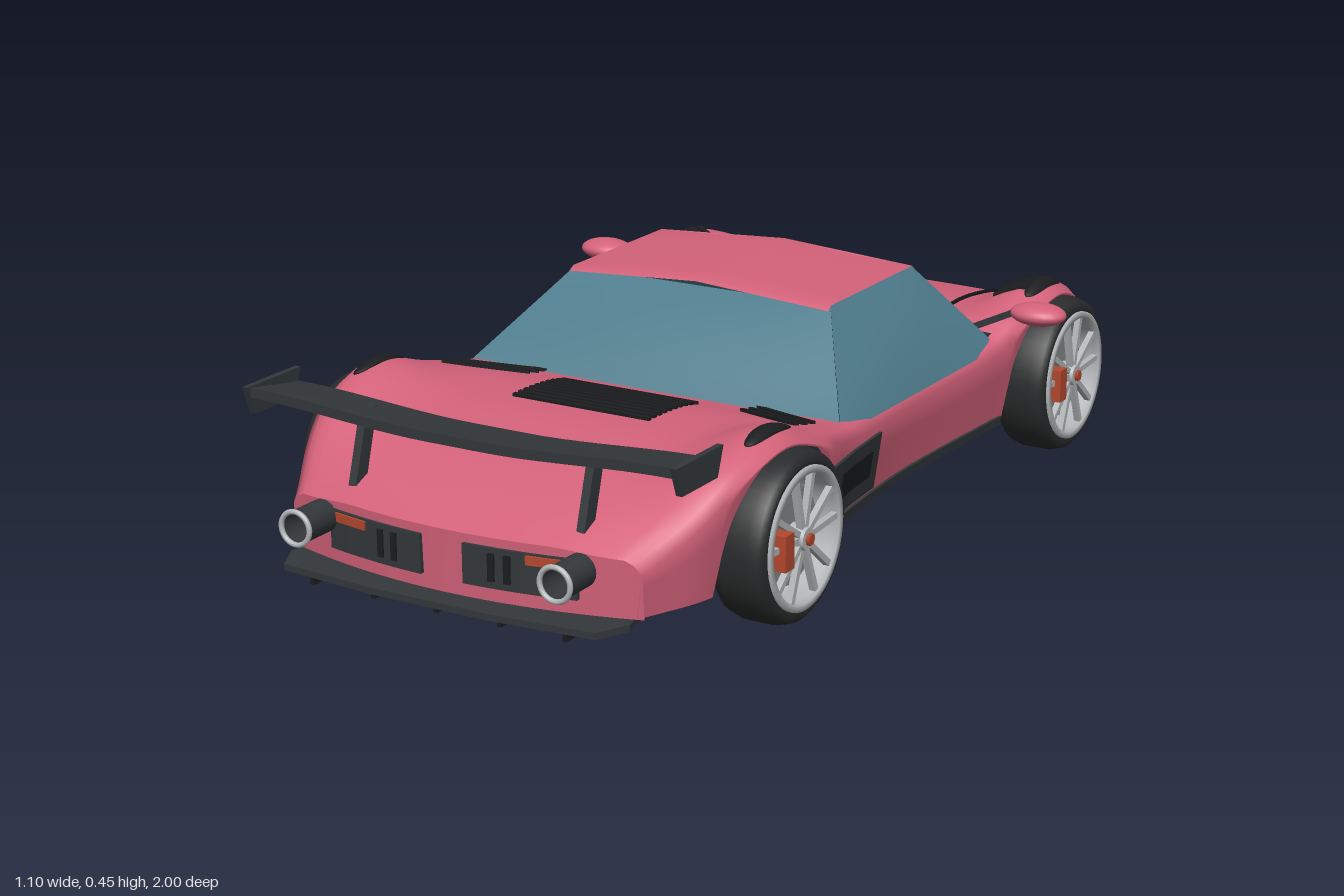
import * as THREE from 'three';

const mat = (color, side = THREE.FrontSide) => new THREE.MeshStandardMaterial({ color, side });
const PAINT = mat(0xd4627a, THREE.DoubleSide), GLASS = mat(0x4f7c8c, THREE.DoubleSide);
const DARK = mat(0x34383b, THREE.DoubleSide), BLACK = mat(0x1c1d1f), TYRE = mat(0x2a2b2c);
const METAL = mat(0xb4b7ba, THREE.DoubleSide), DISC = mat(0x85888a), RED = mat(0xb5482f);

// Body stations along the car: z, half width, centre height, fender height
const KEYS = [
  [-0.965, 0.34, 0.165, 0.16], [-0.9, 0.375, 0.195, 0.19], [-0.8, 0.402, 0.235, 0.245],
  [-0.7, 0.428, 0.26, 0.3], [-0.56, 0.445, 0.28, 0.342], [-0.42, 0.435, 0.278, 0.305],
  [-0.34, 0.425, 0.27, 0.272], [0, 0.412, 0.262, 0.262], [0.25, 0.428, 0.268, 0.27],
  [0.4, 0.45, 0.295, 0.3], [0.55, 0.452, 0.298, 0.342], [0.68, 0.44, 0.282, 0.312],
  [0.8, 0.412, 0.252, 0.255], [0.935, 0.36, 0.205, 0.195]];
const NOSE = KEYS[0][0], TAIL = KEYS[KEYS.length - 1][0];
const WHEEL_Z = [-0.56, 0.55], WHEEL_Y = 0.156, FLOOR = 0.09;
const { smoothstep, clamp, lerp } = THREE.MathUtils;

function station(z) {
  let i = 0;
  while (i < KEYS.length - 2 && z > KEYS[i + 1][0]) i++;
  const a = KEYS[i], b = KEYS[i + 1], k = clamp((z - a[0]) / (b[0] - a[0]), 0, 1);
  const slope = (n, c) => n <= 0 || n >= KEYS.length - 1 ? (b[c] - a[c]) / (b[0] - a[0])
    : (KEYS[n + 1][c] - KEYS[n - 1][c]) / (KEYS[n + 1][0] - KEYS[n - 1][0]);
  const h = b[0] - a[0], k2 = k * k, k3 = k2 * k;
  const [w, yc, yf] = [1, 2, 3].map(c => a[c] * (2 * k3 - 3 * k2 + 1) + b[c] * (3 * k2 - 2 * k3)
    + h * (slope(i, c) * (k3 - 2 * k2 + k) + slope(i + 1, c) * (k3 - k2)));
  return { w, yc, yf };
}
// Nose and tail are bowed in plan
const bow = z => (z < 0 ? 0.1 : -0.06) * smoothstep(Math.abs(z), 0.65, 0.96);
const topY = (s, t) => s.yc + (s.yf - s.yc) * smoothstep(t, 0.55, 0.9) - 0.025 * Math.max(0, (t - 0.9) / 0.1) ** 2;
const sideX = (s, y) => s.w - 0.15 * (topY(s, 1) - y);
const endZ = (z, x) => z + bow(z) * (x / station(z).w) ** 2;
function surfaceY(x, z) {
  let z0 = z;
  for (let i = 0; i < 4; i++) z0 = z - bow(z0) * (x / station(z0).w) ** 2;
  const s = station(z0);
  return topY(s, Math.min(1, Math.abs(x) / s.w));
}
function lowerEdge(z) {
  for (const c of WHEEL_Z) if (Math.abs(z - c) < 0.165) return WHEEL_Y + Math.sqrt(0.165 ** 2 - (z - c) ** 2);
  return FLOOR;
}

// Surface from a grid of points, with optional skipped cells
function grid(rows, skip = () => false) {
  const n = rows[0].length, index = [];
  for (let i = 0; i < rows.length - 1; i++) for (let j = 0; j < n - 1; j++) {
    if (skip(i, j)) continue;
    const a = i * n + j;
    index.push(a, a + n, a + 1, a + 1, a + n, a + n + 1);
  }
  const g = new THREE.BufferGeometry();
  g.setAttribute('position', new THREE.Float32BufferAttribute(rows.flat(2), 3));
  g.setIndex(index);
  g.computeVertexNormals();
  return g;
}
function warp(g, rule) {
  const p = g.attributes.position, v = new THREE.Vector3();
  for (let i = 0; i < p.count; i++) { v.fromBufferAttribute(p, i); rule(v); p.setXYZ(i, v.x, v.y, v.z); }
  g.computeVertexNormals();
  return g;
}
const onTop = g => warp(g, v => { v.y += surfaceY(v.x, v.z); });
function patch(a, b, c, d, bulge = [0, 0, 0]) {
  const rows = [];
  for (let i = 0; i <= 10; i++) rows.push(Array.from({ length: 11 }, (_, j) => {
    const u = i / 10, v = j / 10, k = 16 * u * (1 - u) * v * (1 - v);
    return [0, 1, 2].map(q => lerp(lerp(a[q], b[q], v), lerp(c[q], d[q], v), u) + bulge[q] * k);
  }));
  return grid(rows);
}

export function createModel() {
  const car = new THREE.Group();
  const add = (name, g, m, parent = car) => {
    const mesh = new THREE.Mesh(g, m);
    mesh.name = name;
    parent.add(mesh);
    return mesh;
  };

  // Body shell, open below and under the cabin
  const T = [0, 0.15, 0.3, 0.45, 0.55, 0.63, 0.71, 0.79, 0.86, 0.92, 0.96, 1];
  const section = z => {
    const s = station(z), half = T.map(t => [t * s.w, topY(s, t), z + bow(z) * t * t]);
    const ze = z + bow(z), top = topY(s, 1), low = Math.min(lowerEdge(ze), top - 0.004);
    for (let k = 1; k <= 3; k++) {
      const y = lerp(top, low, k / 3);
      half.push([sideX(s, y), y, ze]);
    }
    return [...half.slice(1).reverse().map(([x, y, q]) => [-x, y, q]), ...half];
  };
  const N = 152, zs = Array.from({ length: N + 1 }, (_, i) => lerp(NOSE, TAIL, i / N));
  const mid = T.length + 2;
  add('bodyShell', grid(zs.map(section), (i, j) =>
    zs[i] > -0.375 && zs[i + 1] < 0.265 && Math.abs(j + 0.5 - mid) < 9), PAINT);
  for (const [name, z] of [['nosePanel', NOSE], ['tailPanel', TAIL]]) {
    const top = section(z).slice(3, -3);
    const low = top.map(([x, , q]) => [x, FLOOR, q - Math.sign(z) * 0.005]);
    add(name, grid(z < 0 ? [low, top] : [top, low]), PAINT);
  }

  // Cabin: crowned roof and four panes
  const F = -0.235, R = 0.09;
  const roof = [F - 0.01, F, -0.15, -0.05, 0.04, R, R + 0.015].map((z, i) =>
    [-1, -0.7, -0.35, 0, 0.35, 0.7, 1].map(k => [0.283 * k, 0.448 - 0.018 * Math.abs(k) - (i % 6 ? 0 : 0.008), z]));
  add('roof', grid(roof), PAINT);
  add('windscreen', patch([-0.3, 0.265, -0.385], [0.3, 0.265, -0.385], [-0.28, 0.428, F], [0.28, 0.428, F], [0, 0.015, -0.01]), GLASS);
  add('rearWindow', patch([-0.28, 0.428, R], [0.28, 0.428, R], [-0.405, 0.262, 0.28], [0.405, 0.262, 0.28], [0, 0.012, 0.01]), GLASS);
  add('screenHeader', patch([-0.28, 0.427, F], [0.28, 0.427, F], [-0.28, 0.43, F + 0.01], [0.28, 0.43, F + 0.01], [0, 0.016, 0]), PAINT);
  for (const s of [-1, 1]) {
    const belt = [[0.3, 0.265, -0.385], [0.41, 0.252, -0.365]];
    const m = p => [p[0] * s, p[1], p[2]];
    add('sideWindow', patch(m([0.41, 0.252, -0.365]), m([0.407, 0.252, 0.28]), m([0.28, 0.43, F]), m([0.28, 0.43, R]), [0.008 * s, 0.006, 0]), GLASS);
    add('cornerWindow', patch(m(belt[0]), m(belt[1]), m([0.28, 0.43, F]), m([0.28, 0.43, F])), GLASS);
  }

  // Engine louvres, hood creases and fender slots laid on the surface
  const strip = (name, x0, z0, x1, z1, w = 0.01) => {
    const len = Math.hypot(x1 - x0, z1 - z0);
    const g = new THREE.BoxGeometry(len, 0.01, w, 14, 1, 1);
    g.rotateY(-Math.atan2(z1 - z0, x1 - x0)).translate((x0 + x1) / 2, 0.001, (z0 + z1) / 2);
    add(name, onTop(g), BLACK);
  };
  for (let i = 0; i < 10; i++) strip('engineLouvre', -0.145, 0.342 + i * 0.0178, 0.145, 0.342 + i * 0.0178, 0.009);
  for (const s of [-1, 1]) {
    for (let i = 0; i < 3; i++) {
      strip('deckSlot', s * 0.23, 0.265 + i * 0.03, s * 0.38, 0.335 + i * 0.03, 0.011);
      strip('fenderSlot', s * 0.33, -0.505 - i * 0.025, s * 0.4, -0.515 - i * 0.025, 0.011);
    }
    strip('hoodCrease', s * 0.225, -0.78, s * 0.237, -0.62, 0.005);
    strip('hoodCrease', s * 0.237, -0.62, s * 0.24, -0.45, 0.005);
    for (const z of WHEEL_Z) {
      const g = new THREE.SphereGeometry(1, 20, 12).scale(0.018, 0.006, 0.075);
      add('fenderVent', onTop(g.translate(0.41 * s, 0, z)), BLACK);
    }
    // Side intake and sill follow the flank
    for (const [name, y, h, z0, z1] of [['sideIntake', 0.17, 0.11, 0.15, 0.37], ['intakeInset', 0.175, 0.05, 0.19, 0.33], ['sill', 0.098, 0.018, -0.38, 0.37]]) {
      const out = name === 'intakeInset' ? 0.006 : 0.002;
      const g = new THREE.BoxGeometry(0.008, h, z1 - z0, 1, 3, 16).translate(0, y, (z0 + z1) / 2);
      add(name, warp(g, v => { v.x = s * (sideX(station(v.z), v.y) + out) + v.x; }), name === 'intakeInset' ? BLACK : DARK);
    }
    // Grilles and lamps follow the bowed ends
    for (const [name, z, x, y, w, h, m, out] of [
      ['noseGrille', NOSE, 0.18, 0.125, 0.23, 0.05, DARK, 0], ['headlamp', NOSE, 0.24, 0.138, 0.09, 0.016, METAL, 0.004],
      ['tailGrille', TAIL, 0.148, 0.153, 0.21, 0.072, DARK, 0], ['tailLamp', TAIL, 0.215, 0.178, 0.1, 0.016, RED, 0.004],
      ['tailSlot', TAIL, 0.1, 0.155, 0.012, 0.05, BLACK, 0.004], ['tailSlot', TAIL, 0.13, 0.155, 0.012, 0.05, BLACK, 0.004]]) {
      const g = new THREE.BoxGeometry(w, h, 0.01, 10, 1, 1).translate(x * s, y, 0);
      add(name, warp(g, v => { v.z += endZ(z, v.x) + Math.sign(z) * out; }), m);
    }
    // Exhausts
    const pipe = new THREE.CylinderGeometry(0.03, 0.03, 0.08, 24, 1, true).rotateX(Math.PI / 2);
    add('exhaustPipe', pipe.translate(0.265 * s, 0.175, 0.955), DARK);
    add('exhaustRing', new THREE.TorusGeometry(0.03, 0.005, 8, 28).translate(0.265 * s, 0.175, 0.993), METAL);
    // Mirrors
    add('mirror', new THREE.SphereGeometry(1, 24, 16).scale(0.057, 0.022, 0.042), PAINT).position.set(0.494 * s, 0.333, -0.36);
    add('mirrorArm', new THREE.BoxGeometry(0.1, 0.012, 0.014).rotateZ(s * 0.45).translate(0.405 * s, 0.312, -0.35), DARK);
    // Wing supports and end plates
    const post = new THREE.BoxGeometry(0.016, 0.13, 0.03);
    add('wingSupport', warp(post, v => { v.z -= (v.y + 0.065) * 0.3; }), DARK).position.set(0.235 * s, 0.285, 0.855);
    const plate = new THREE.BoxGeometry(0.012, 0.052, 0.15);
    add('wingEndPlate', warp(plate, v => { if (v.y < 0) v.z *= 0.75; }), DARK).position.set(0.436 * s, 0.35, 0.828);
  }

  // Rear wing, dipping towards the middle
  const blade = new THREE.BoxGeometry(0.87, 0.018, 0.14, 20, 1, 4);
  add('rearWing', warp(blade, v => {
    v.y += 0.335 + 0.018 * smoothstep(Math.abs(v.x), 0.06, 0.43) + 0.012 * (v.z / 0.07);
    v.z += 0.825;
  }), DARK);

  // Front splitter and rear diffuser
  const slab = (name, pts, y) => {
    const shape = new THREE.Shape([...pts, ...pts.slice().reverse().map(([x, z]) => [-x, z])].map(([x, z]) => new THREE.Vector2(x, -z)));
    const g = new THREE.ExtrudeGeometry(shape, { depth: 0.012, bevelEnabled: false });
    add(name, g.rotateX(-Math.PI / 2).translate(0, y, 0), DARK);
  };
  slab('frontSplitter', [[0.1, -0.998], [0.325, -0.98], [0.35, -0.9], [0.34, -0.865], [0.2, -0.91], [0.1, -0.93]], 0.086);
  slab('diffuser', [[0.12, 0.978], [0.32, 0.96], [0.35, 0.9], [0.33, 0.82]], 0.078);
  for (let i = -2; i <= 2; i++) add('diffuserFin', new THREE.BoxGeometry(0.008, 0.025, 0.13).translate(i * 0.13, 0.075, 0.895), BLACK);

  // Wheels
  const lathe = pts => new THREE.LatheGeometry(pts.map(p => new THREE.Vector2(...p)), 48).rotateZ(-Math.PI / 2);
  for (const z of WHEEL_Z) for (const s of [-1, 1]) {
    const wheel = new THREE.Group();
    wheel.name = z < 0 ? 'frontWheel' : 'rearWheel';
    wheel.position.set(0.432 * s, WHEEL_Y, z);
    car.add(wheel);
    const hub = new THREE.Group();
    hub.name = 'rimAndTyre';
    hub.rotation.y = s < 0 ? Math.PI : 0;
    wheel.add(hub);
    add('tyre', lathe([[0.122, -0.05], [0.138, -0.054], [0.15, -0.045], [0.156, -0.025], [0.156, 0.025], [0.15, 0.045], [0.138, 0.054], [0.122, 0.05], [0.122, -0.05]]), TYRE, hub);
    add('rim', lathe([[0.115, -0.048], [0.115, 0.045], [0.116, 0.057], [0.129, 0.057], [0.129, 0.048]]), METAL, hub);
    add('brakeDisc', new THREE.CylinderGeometry(0.088, 0.088, 0.012, 36).rotateZ(Math.PI / 2).translate(0.02, 0, 0), DISC, hub);
    add('hubCap', new THREE.CylinderGeometry(0.02, 0.026, 0.03, 20).rotateZ(-Math.PI / 2).translate(0.044, 0, 0), METAL, hub);
    add('hubNut', new THREE.CylinderGeometry(0.011, 0.011, 0.008, 6).rotateZ(Math.PI / 2).translate(0.062, 0, 0), RED, hub);
    for (let i = 0; i < 10; i++) {
      const a = (Math.floor(i / 2) + (i % 2 ? 0.2 : -0.2)) * Math.PI * 2 / 5;
      add('spoke', new THREE.BoxGeometry(0.012, 0.1, 0.011).translate(0.047, 0.068, 0).rotateX(a), METAL, hub);
    }
    add('brakeCaliper', new THREE.BoxGeometry(0.03, 0.065, 0.03).translate(0.05 * s, 0, 0.075), RED, wheel);
  }
  return car;
}
